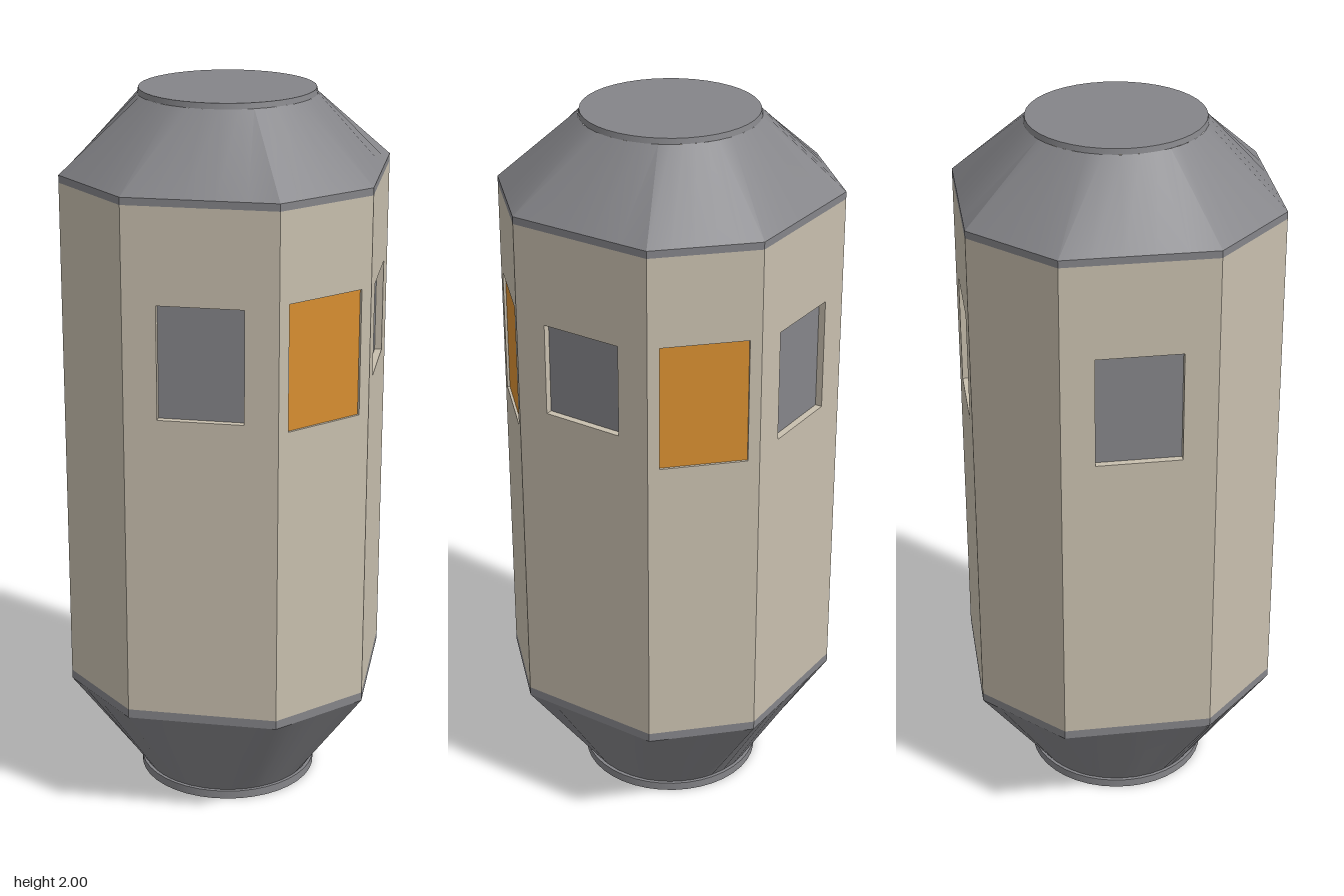
import * as THREE from 'three';
import { toCreasedNormals } from 'three/addons/utils/BufferGeometryUtils.js';

const HALF = 0.415;    // centre to a main face
const CORNER = 0.205;  // half width of a main face
const BOTTOM = 0.35, TOP = 1.77;

const material = (name, color) => {
  const m = new THREE.MeshStandardMaterial({ color });
  m.name = name;
  return m;
};

// Points [x, z] round the octagon, each edge split so it can blend into a circle
function octagonRing(steps) {
  const corners = [
    [-CORNER, HALF], [CORNER, HALF], [HALF, CORNER], [HALF, -CORNER],
    [CORNER, -HALF], [-CORNER, -HALF], [-HALF, -CORNER], [-HALF, CORNER],
  ];
  const ring = [];
  corners.forEach(([x, z], i) => {
    const [nx, nz] = corners[(i + 1) % 8];
    for (let s = 0; s < steps; s++) {
      const t = s / steps;
      ring.push([x + (nx - x) * t, z + (nz - z) * t]);
    }
  });
  return ring;
}

// Surface through rings listed from bottom to top as { y, points }
function loft(rings) {
  const n = rings[0].points.length;
  const positions = [], index = [];
  rings.forEach(({ y, points }) => points.forEach(([x, z]) => positions.push(x, y, z)));
  for (let r = 0; r < rings.length - 1; r++) {
    for (let i = 0; i < n; i++) {
      const a = r * n + i, b = r * n + (i + 1) % n;
      index.push(a, b, b + n, a, b + n, a + n);
    }
  }
  const g = new THREE.BufferGeometry();
  g.setAttribute('position', new THREE.Float32BufferAttribute(positions, 3));
  g.setIndex(index);
  return toCreasedNormals(g, 0.35);
}

export function createModel() {
  const model = new THREE.Group();
  model.name = 'octagonalCapsule';
  const beige = material('warm beige', 0xc8bfae);
  const grey = material('slate grey', 0x858589);
  const orange = material('amber orange', 0xd88f31);

  const add = (name, geometry, mat, parent = model, y = 0, z = 0) => {
    const mesh = new THREE.Mesh(geometry, mat);
    mesh.name = name;
    mesh.position.set(0, y, z);
    parent.add(mesh);
    return mesh;
  };

  // Tapered ends, octagon blending to circle
  const octagon = octagonRing(5);
  const circle = octagon.map(([x, z]) => {
    const s = 0.24 / Math.hypot(x, z);
    return [x * s, z * s];
  });
  add('lowerTaper', loft([
    { y: 0.02, points: circle }, { y: 0.325, points: octagon }, { y: BOTTOM, points: octagon },
  ]), grey);
  add('upperTaper', loft([
    { y: TOP, points: octagon }, { y: 1.79, points: octagon }, { y: 1.985, points: circle },
  ]), grey);
  add('topCap', new THREE.CylinderGeometry(0.237, 0.24, 0.015, 40), grey, model, 1.9925);
  add('baseDisc', new THREE.CylinderGeometry(0.252, 0.252, 0.024, 40), grey, model, 0.012);

  // Wall panels, counted from the front towards +x; some hold recessed panes
  const greyPane = { low: 1.2, high: 1.51, half: 0.115, recess: 0.02, mat: grey, name: 'greyWindow' };
  const amberPane = { low: 1.18, high: 1.525, half: 0.117, recess: 0.008, mat: orange, name: 'amberWindow' };
  const panes = [
    greyPane, amberPane, { ...greyPane, low: 1.255 }, amberPane,
    greyPane, null, greyPane, null,
  ];
  panes.forEach((pane, k) => {
    const diagonal = k % 2 === 1;
    const distance = diagonal ? (HALF + CORNER) / Math.SQRT2 : HALF;
    const half = diagonal ? (HALF - CORNER) / Math.SQRT2 : CORNER;
    const depth = pane ? pane.recess : 0.01;

    const side = new THREE.Group();
    side.name = `side${k + 1}`;
    side.rotation.y = k * Math.PI / 4;
    model.add(side);

    const outline = new THREE.Shape([
      new THREE.Vector2(-half, BOTTOM), new THREE.Vector2(half, BOTTOM),
      new THREE.Vector2(half, TOP), new THREE.Vector2(-half, TOP),
    ]);
    if (pane) {
      const { low, high, half: w } = pane;
      outline.holes.push(new THREE.Path([
        new THREE.Vector2(-w, low), new THREE.Vector2(-w, high),
        new THREE.Vector2(w, high), new THREE.Vector2(w, low),
      ]));
      add(pane.name, new THREE.PlaneGeometry(2 * w, high - low), pane.mat,
        side, (low + high) / 2, distance - depth + 0.001);
    }
    add('wallPanel', new THREE.ExtrudeGeometry(outline, { depth, bevelEnabled: false }),
      beige, side, 0, distance - depth);
  });

  return model;
}
